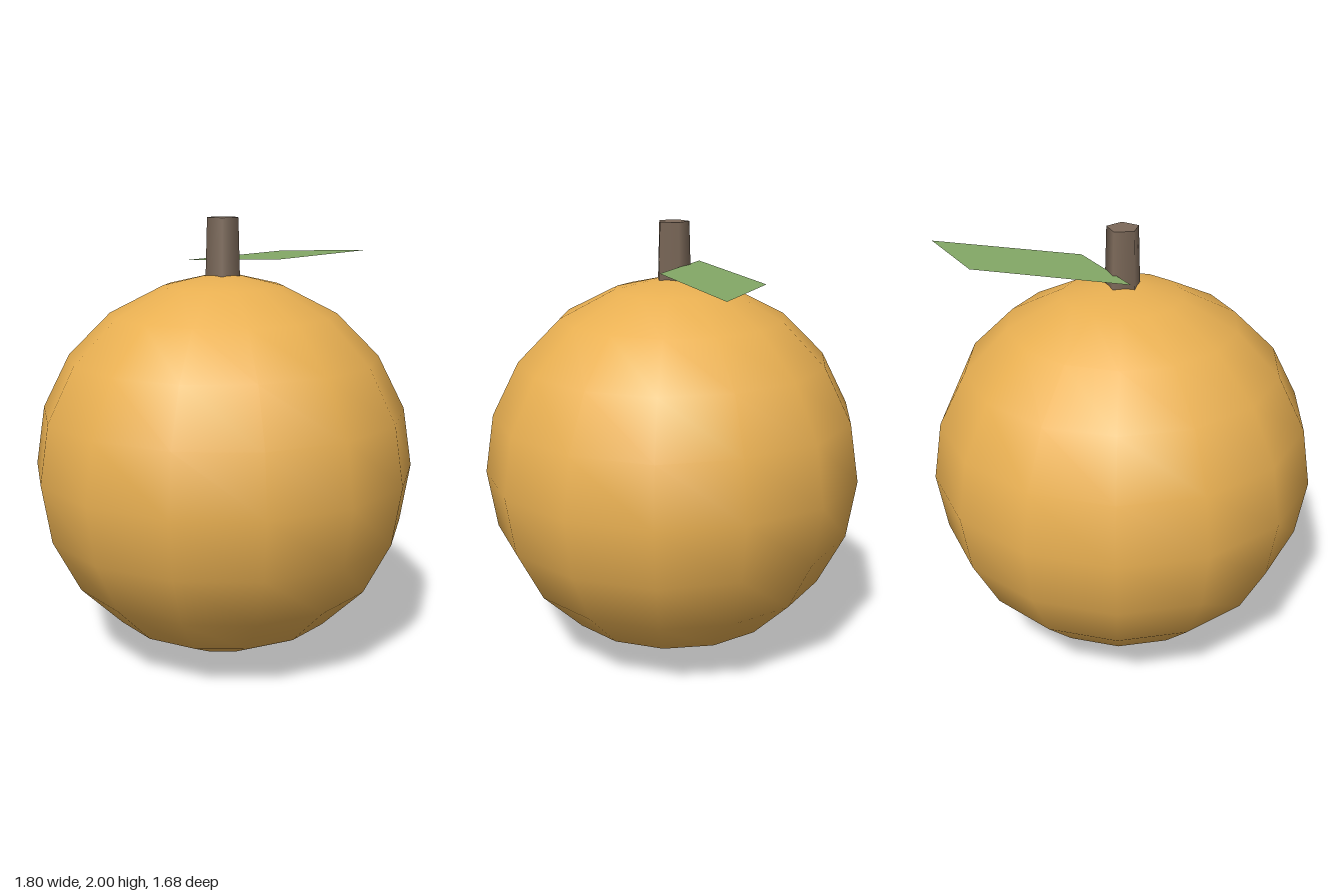
import * as THREE from 'three';

const AXIS_X = -0.035; // the fruit and stem sit slightly right of centre

function part(name, geometry, color, side = THREE.FrontSide) {
  const mesh = new THREE.Mesh(geometry, new THREE.MeshStandardMaterial({ color, side }));
  mesh.name = name;
  return mesh;
}

// Low-poly smooth-shaded fruit, a little flattened on its +x side
function fruitGeometry() {
  const r = 0.862;
  const geometry = new THREE.SphereGeometry(r, 14, 10);
  const p = geometry.attributes.position;
  for (let i = 0; i < p.count; i++) {
    if (p.getX(i) > 0.8 && Math.abs(p.getZ(i)) < 0.05) p.setX(i, p.getX(i) * 0.97);
    if (Math.abs(p.getY(i)) > r - 0.001) p.setY(i, Math.sign(p.getY(i)) * 0.883); // pointed poles
  }
  return geometry;
}

// Flat parallelogram leaf lying level
function leafGeometry() {
  const shape = new THREE.Shape([
    new THREE.Vector2(-0.11, 0.155),
    new THREE.Vector2(0.19, -0.145),
    new THREE.Vector2(0.9, -0.145),
    new THREE.Vector2(0.6, 0.155),
  ]);
  return new THREE.ShapeGeometry(shape).rotateX(-Math.PI / 2);
}

export function createModel() {
  const model = new THREE.Group();
  model.name = 'fruit';

  const body = part('fruitBody', fruitGeometry(), 0xe9b052);
  body.position.set(AXIS_X, 0.883, 0);

  // Five-sided tapering stem with one corner towards the leaf
  const stem = part('stem', new THREE.CylinderGeometry(0.072, 0.081, 0.3, 5), 0x7d6a5a);
  stem.rotation.y = Math.PI / 2;
  stem.position.set(AXIS_X, 1.85, 0);

  const leaf = part('leaf', leafGeometry(), 0x84a866, THREE.DoubleSide);
  leaf.position.y = 1.81;

  model.add(body, stem, leaf);
  return model;
}
